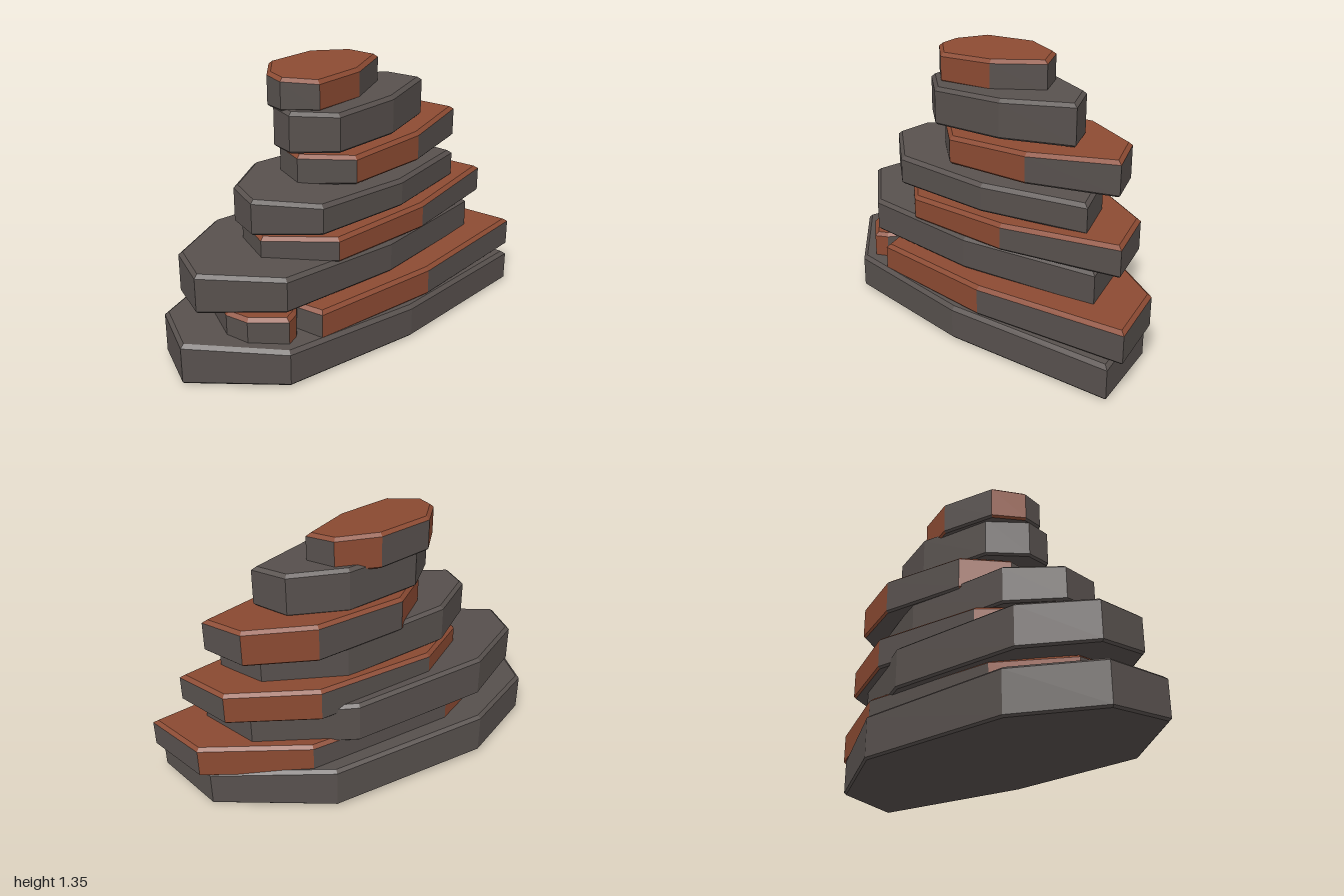
import * as THREE from 'three';

const stone = new THREE.MeshStandardMaterial({ color: 0x57504d, flatShading: true });
const rust = new THREE.MeshStandardMaterial({ color: 0x8b4a32, flatShading: true });

// Plan outline as fractions of a slab's extent, running left, back, right, front.
// It turns gradually from the lowest slab to the highest.
const lowPlan = [[0, 0.55], [0.05, 0.22], [0.26, 0], [0.69, 0.03], [0.955, 0.42], [1, 0.89], [0.56, 1], [0.185, 0.94]];
const highPlan = [[0, 0.7], [0.01, 0.43], [0.18, 0.1], [0.6, 0], [0.9, 0.2], [1, 0.56], [0.63, 0.89], [0.2, 1]];

// Slabs from the ground up, stone and rust in turn:
// extent in x and z, bottom and top height at the centre, top slope in x and z
const slabs = [
  { x: [-1, 0.95], z: [-0.43, 0.425], y: [0.009, 0.205], tilt: [-0.01, -0.085] },
  { x: [-0.78, 1], z: [-0.34, 0.41], y: [0.18, 0.338], tilt: [0.018, -0.055] },
  { x: [-0.905, 0.755], z: [-0.385, 0.33], y: [0.333, 0.52], tilt: [-0.01, -0.1] },
  { x: [-0.56, 0.875], z: [-0.335, 0.33], y: [0.495, 0.638], tilt: [0.03, -0.08] },
  { x: [-0.63, 0.67], z: [-0.275, 0.32], y: [0.65, 0.818], tilt: [-0.03, -0.12] },
  { x: [-0.32, 0.775], z: [-0.3, 0.24], y: [0.81, 0.968], tilt: [0.03, -0.1] },
  { x: [-0.385, 0.52], z: [-0.235, 0.23], y: [0.985, 1.187], tilt: [0.01, -0.09] },
  { x: [-0.385, 0.28], z: [-0.25, 0.14], y: [1.17, 1.325], tilt: [0, -0.11] },
];

// Broken front left corner of the lowest rust slab
const notch = [[-0.49, 0.24], [-0.535, 0.29], [-0.6, 0.32], [-0.745, 0.2]];

// Outline edges of a rust slab whose walls are rust coloured
const rustEdges = [1, 3, 6, 9];

// Moves every edge of the outline inwards by d
function inset(outline, d) {
  const n = outline.length;
  const normal = (a, b) => new THREE.Vector2(a[1] - b[1], b[0] - a[0]).normalize();
  return outline.map((p, i) => {
    const n1 = normal(outline[(i + n - 1) % n], p);
    const n2 = normal(p, outline[(i + 1) % n]);
    const k = d / Math.max(0.4, 1 + n1.dot(n2));
    return [p[0] + (n1.x + n2.x) * k, p[1] + (n1.y + n2.y) * k];
  });
}

function makeMesh(positions, material, name) {
  const geometry = new THREE.BufferGeometry();
  geometry.setAttribute('position', new THREE.Float32BufferAttribute(positions, 3));
  geometry.computeVertexNormals();
  const mesh = new THREE.Mesh(geometry, material);
  mesh.name = name;
  return mesh;
}

// A tilted slab with chamfered rims
function makeSlab({ x, z, y, tilt }, level) {
  const { lerp } = THREE.MathUtils;
  const isRust = level % 2 === 1;
  const turn = level / (slabs.length - 1);
  const outline = lowPlan.map(([u, v], i) => [
    lerp(x[0], x[1], lerp(u, highPlan[i][0], turn)),
    lerp(z[0], z[1], lerp(v, highPlan[i][1], turn)),
  ]);
  if (level === 1) outline.push(...notch);

  const lower = (px, pz) => y[0] + 0.4 * tilt[0] * px - 0.02 * pz;
  const upper = (px, pz) => y[1] + tilt[0] * px + tilt[1] * pz;
  const ring = (points, height, lift) => points.map(([px, pz]) => [px, height(px, pz) + lift, pz]);
  const rings = [
    ring(inset(outline, 0.01), lower, 0),
    ring(outline, lower, 0.01),
    ring(outline, upper, -0.016),
    ring(inset(outline, 0.018), upper, 0),
  ];
  const stoneFaces = [];
  const rustFaces = [];
  const crown = isRust ? rustFaces : stoneFaces;

  // Walls and chamfers
  for (let r = 0; r < 3; r++) {
    for (let i = 0; i < outline.length; i++) {
      const j = (i + 1) % outline.length;
      const [a, b, c, d] = [rings[r][i], rings[r + 1][i], rings[r + 1][j], rings[r][j]];
      const wall = isRust && rustEdges.includes(i) ? rustFaces : stoneFaces;
      (r === 2 ? crown : wall).push(...a, ...b, ...c, ...a, ...c, ...d);
    }
  }

  // Underside and top
  const contour = outline.map(([px, pz]) => new THREE.Vector2(px, pz));
  for (const [a, b, c] of THREE.ShapeUtils.triangulateShape(contour, [])) {
    stoneFaces.push(...rings[0][a], ...rings[0][b], ...rings[0][c]);
    crown.push(...rings[3][a], ...rings[3][c], ...rings[3][b]);
  }

  const slab = new THREE.Group();
  slab.name = `${isRust ? 'rust' : 'stone'}Slab${level + 1}`;
  slab.add(makeMesh(stoneFaces, stone, 'stoneFaces'));
  if (isRust) slab.add(makeMesh(rustFaces, rust, 'rustFaces'));
  return slab;
}

export function createModel() {
  const model = new THREE.Group();
  model.name = 'layeredRock';
  slabs.forEach((slab, level) => model.add(makeSlab(slab, level)));
  return model;
}
